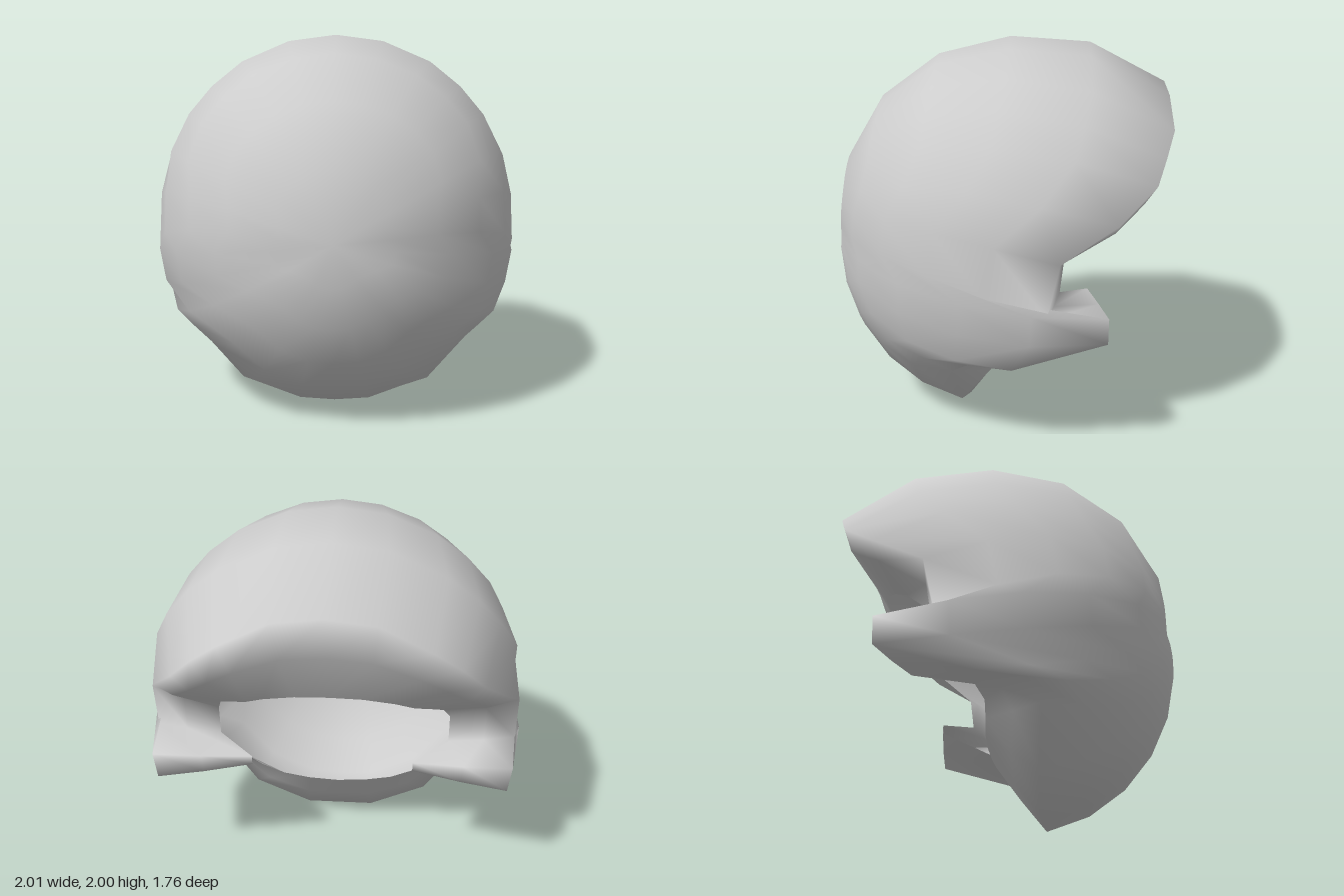
import * as THREE from 'three';

// Half of the opening, from top centre round the left side to bottom centre:
// crest (outermost edge) and lip (inner edge of the rolled rim) at each step.
const RIM = [
  [[0, 1.76, -0.87], [0, 1.24, -0.68]],
  [[0.25, 1.73, -0.87], [0.17, 1.23, -0.67]],
  [[0.51, 1.6, -0.87], [0.33, 1.2, -0.65]],
  [[0.65, 1.49, -0.82], [0.43, 1.15, -0.6]],
  [[0.76, 1.38, -0.77], [0.51, 1.12, -0.55]],
  [[0.9, 1.22, -0.58], [0.58, 1.07, -0.47]],
  [[0.98, 1.05, -0.3], [0.62, 0.95, -0.33]],
  [[0.98, 0.78, -0.24], [0.62, 0.78, -0.31]],
  [[0.95, 0.77, -0.54], [0.43, 0.73, -0.46]],  // side tongue, upper face
  [[0.93, 0.63, -0.54], [0.43, 0.68, -0.46]],  // side tongue, lower face
  [[0.92, 0.48, -0.07], [0.6, 0.54, -0.1]],
  [[0.84, 0.47, 0.15], [0.54, 0.48, -0.06]],
  [[0.72, 0.38, 0.24], [0.44, 0.42, -0.07]],
  [[0.51, 0.12, 0.2], [0.31, 0.38, -0.09]],
  [[0.19, 0, 0.17], [0.16, 0.36, -0.1]],
  [[0, 0, 0.17], [0, 0.35, -0.1]],
];
const CENTRE = new THREE.Vector3(0, 1, 0);
const ROWS = 6;

// Direction at an angle away from the front, turned round the front axis
function direction(angle, turn) {
  const s = Math.sin(angle);
  return new THREE.Vector3(s * Math.cos(turn), s * Math.sin(turn), Math.cos(angle));
}

// Near-spherical radius that grows towards the back and the base
function baseRadius(angle, dir) {
  const behind = Math.max(0, angle - Math.PI / 2);
  return 0.88 + 0.07 * angle + 0.12 * behind + 0.08 * Math.max(0, -dir.y);
}

// One strip of points from the front pole, over the shell, into the lip
function meridian(crestPoint, lipPoint, step) {
  const crest = new THREE.Vector3(...crestPoint);
  const lip = new THREE.Vector3(...lipPoint);
  const toCrest = crest.clone().sub(CENTRE);
  const total = Math.acos(toCrest.z / toCrest.length());
  const crestTurn = Math.atan2(toCrest.y, toCrest.x);
  const evenTurn = Math.PI * (0.5 - step / (RIM.length - 1));
  const extra = toCrest.length() - baseRadius(total, toCrest.clone().normalize());
  const points = [];
  for (let i = 1; i < ROWS; i++) {
    const t = i / ROWS;
    const dir = direction(total * t, THREE.MathUtils.lerp(evenTurn, crestTurn, t * t));
    const radius = baseRadius(total * t, dir) + extra * t ** 6;
    points.push(dir.multiplyScalar(radius).add(CENTRE));
  }
  // Rounded roll: full at the top, flat at the tongues and base
  const bulge = step < 6 ? 0.08 : 0.01;
  const middle = crest.clone().lerp(lip, 0.5);
  middle.addScaledVector(middle.clone().sub(CENTRE).normalize(), bulge);
  points.push(crest, middle, lip);
  return points;
}

function shellGeometry() {
  const half = RIM.map(([crest, lip], i) => meridian(crest, lip, i));
  const mirrored = half.slice(1, -1).reverse().map((column) =>
    column.map((p) => new THREE.Vector3(-p.x, p.y, p.z)));
  const columns = [...half, ...mirrored];
  const count = columns[0].length;
  const points = [new THREE.Vector3(0, 1, 0.87), ...columns.flat()];
  const index = [];
  columns.forEach((_, j) => {
    const a = 1 + j * count;
    const b = 1 + ((j + 1) % columns.length) * count;
    index.push(0, b, a);
    for (let i = 0; i < count - 1; i++) {
      index.push(a + i, b + i, b + i + 1, a + i, b + i + 1, a + i + 1);
    }
  });
  const geometry = new THREE.BufferGeometry().setFromPoints(points);
  geometry.setIndex(index);
  geometry.computeVertexNormals();
  return geometry;
}

export function createModel() {
  const group = new THREE.Group();
  group.name = 'openShell';
  const grey = new THREE.MeshStandardMaterial({ color: 0xcccccc, side: THREE.DoubleSide });
  grey.name = 'light grey';
  const shell = new THREE.Mesh(shellGeometry(), grey);
  shell.name = 'shell';
  group.add(shell);
  return group;
}
